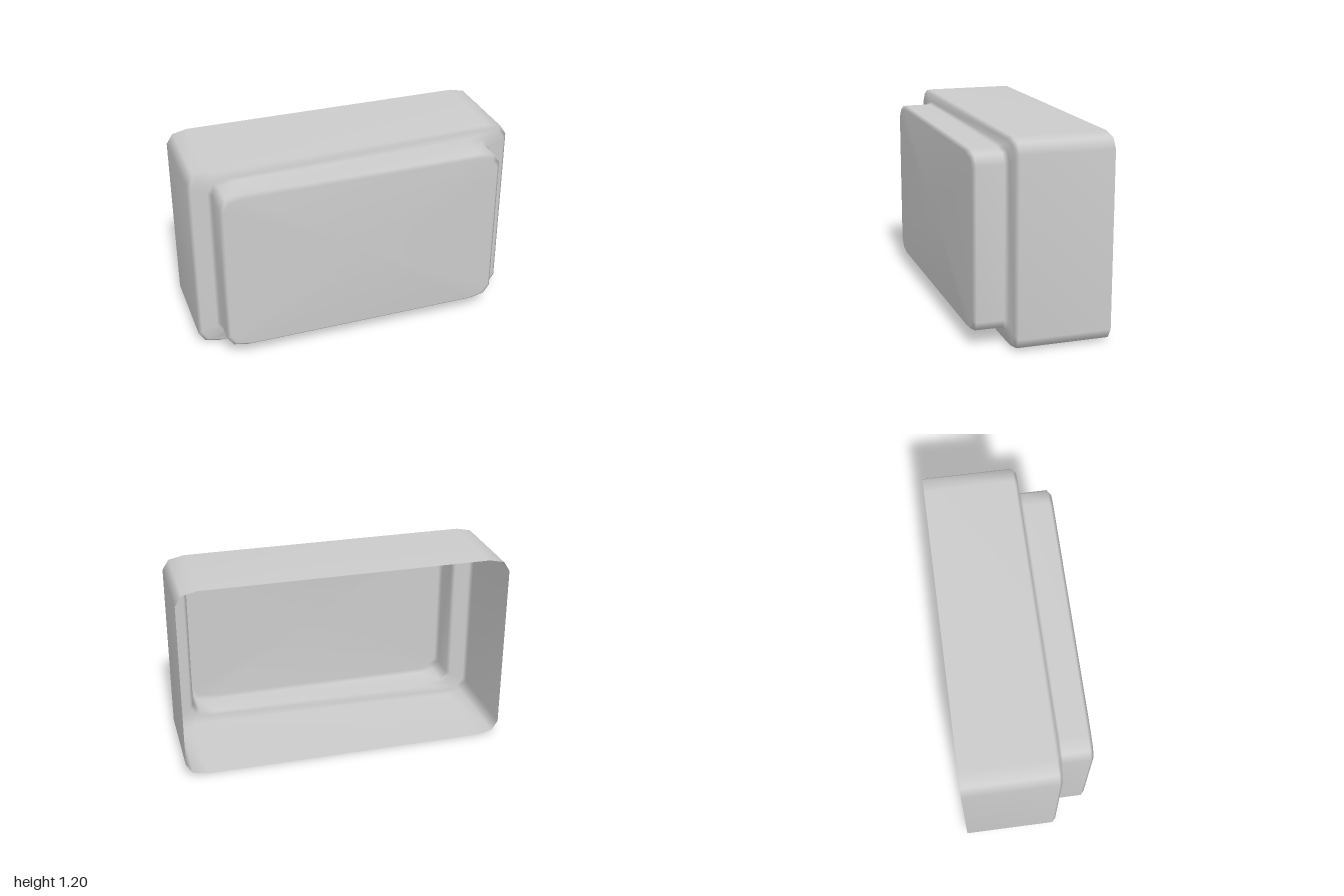
import * as THREE from 'three';

// Rectangle with two-facet softened corners, counter-clockwise seen from +z
function softRectangle(w, h, rx, ry) {
  const corner = [[0, ry], [0.3 * rx, 0.25 * ry], [rx, 0]]; // insets from the sharp corner
  const points = [];
  for (const [sx, sy] of [[1, 1], [-1, 1], [-1, -1], [1, -1]]) {
    const steps = sx * sy > 0 ? corner : [...corner].reverse();
    for (const [dx, dy] of steps) points.push([sx * (w - dx), sy * (h - dy)]);
  }
  return points;
}

// Skin a list of rings from back to front; the last ring is closed by a cap
function loftShell(rings, centreY) {
  const positions = [], index = [];
  const n = 12;
  for (const [z, w, h, rx, ry] of rings) {
    for (const [x, y] of softRectangle(w, h, rx, ry)) positions.push(x, y + centreY, z);
  }
  for (let i = 0; i < rings.length - 1; i++) {
    for (let j = 0; j < n; j++) {
      const a = i * n + j, b = i * n + (j + 1) % n;
      index.push(a, b, b + n, a, b + n, a + n);
    }
  }
  const last = (rings.length - 1) * n, centre = rings.length * n;
  positions.push(0, centreY, rings[rings.length - 1][0]);
  for (let j = 0; j < n; j++) index.push(last + j, last + (j + 1) % n, centre);
  const geometry = new THREE.BufferGeometry();
  geometry.setAttribute('position', new THREE.Float32BufferAttribute(positions, 3));
  geometry.setIndex(index);
  geometry.computeVertexNormals();
  return geometry;
}

export function createModel() {
  const group = new THREE.Group();
  group.name = 'steppedCover';
  const material = new THREE.MeshStandardMaterial({ color: 0xcccccc, side: THREE.DoubleSide });

  // Each ring: z, half width, half height, corner width, corner height
  const rings = [
    [-0.385, 1, 0.6, 0.13, 0.08],       // open back rim
    [0.165, 1, 0.6, 0.13, 0.08],        // main wall
    [0.185, 0.98, 0.58, 0.13, 0.08],    // bevelled shoulder
    [0.185, 0.885, 0.535, 0.13, 0.075], // flat ledge
    [0.205, 0.865, 0.52, 0.13, 0.075],  // fillet into the raised panel
    [0.365, 0.865, 0.52, 0.13, 0.075],  // raised panel wall
    [0.385, 0.845, 0.5, 0.13, 0.075],   // bevelled panel edge
  ];
  const shell = new THREE.Mesh(loftShell(rings, 0.6), material);
  shell.name = 'shell';
  group.add(shell);
  return group;
}
